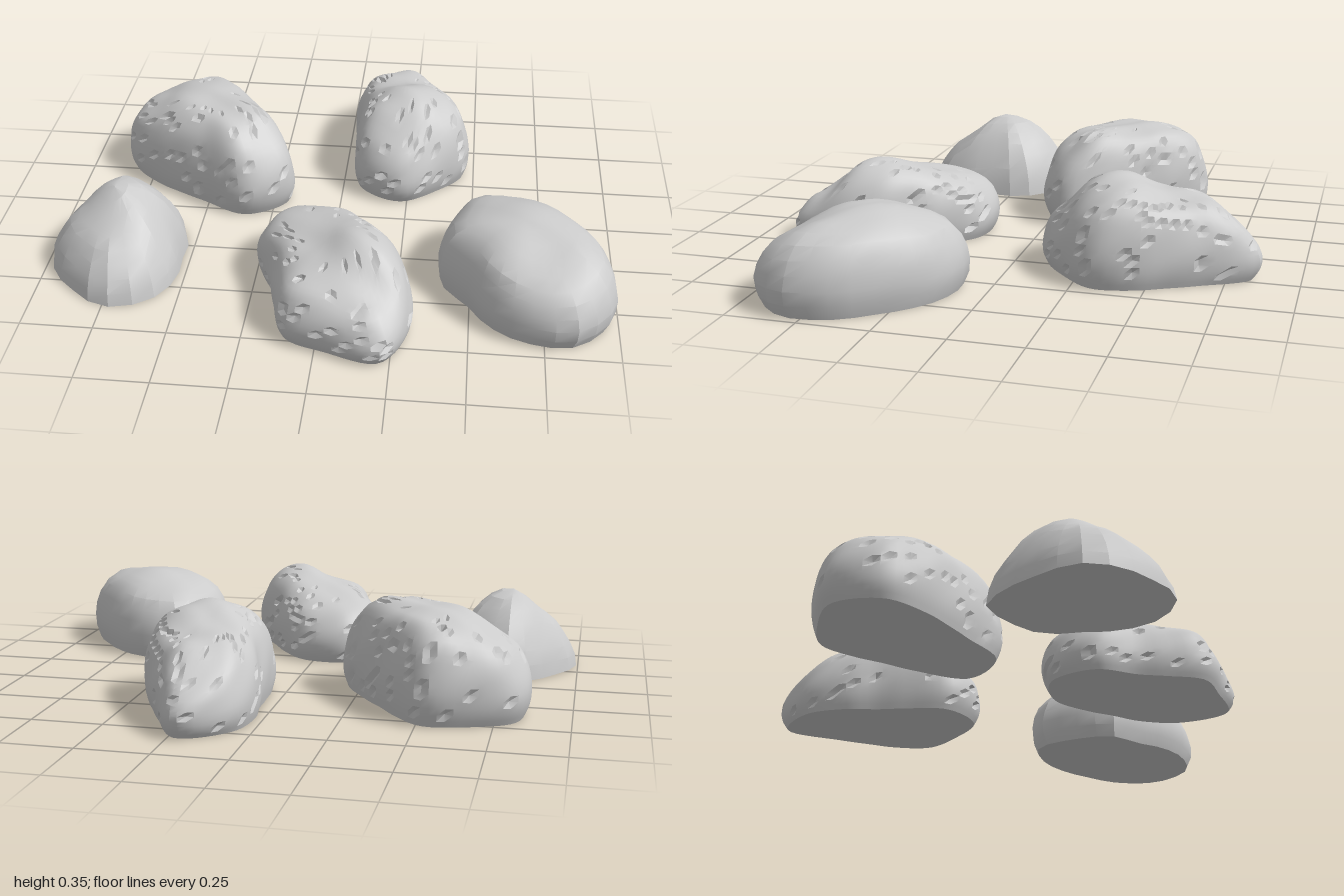
import * as THREE from 'three';
import { toCreasedNormals } from 'three/addons/utils/BufferGeometryUtils.js';

// Side profiles (width, height), from the foot over the shoulder to the crown
const ROUNDED = [[.93, 0], [.985, .15], [1, .34], [.955, .57], [.85, .78], [.67, .915], [.45, .975], [.22, 1], [0, 1]];
const TENTED = [[1, 0], [.985, .15], [.9, .38], [.7, .68], [.45, .87], [.2, .97], [0, 1]];

// Surface types: side profile, mesh fineness, number of chipped pits, lumpiness, crease angle
const PITTED = { profile: ROUNDED, segments: 72, rings: 24, pits: 90, lump: 0.018, crease: 0.45 };
const FACETED = { profile: TENTED, segments: 20, rings: 8, pits: 0, lump: 0.02, crease: 0.3 };
const SMOOTH = { profile: ROUNDED, segments: 26, rings: 10, pits: 0, lump: 0.01, crease: 0.4 };

// Each rock: plan centre [x, z], girth radii at equal angles from +x towards +z,
// and crest heights [x, z, height]
const ROCKS = [
  {
    name: 'backRightRock', surface: PITTED, centre: [-.52, -.27],
    radii: [.25, .40, .37, .24, .215, .248, .335, .367, .31, .29, .22, .20],
    crest: [[-.55, -.36, .345], [-.34, -.16, .36], [-.80, -.36, .29], [-.22, -.06, .31]],
  },
  {
    name: 'backRock', surface: PITTED, centre: [.22, -.46],
    radii: [.235, .293, .31, .368, .322, .215, .189, .237, .336, .405, .252, .213],
    crest: [[.24, -.33, .35], [.18, -.62, .285], [.17, -.84, .22], [.23, -.13, .26]],
  },
  {
    name: 'frontRock', surface: PITTED, centre: [.03, .51],
    radii: [.25, .328, .40, .305, .285, .219, .216, .325, .38, .33, .241, .211],
    crest: [[.17, .56, .31], [-.12, .28, .24], [.18, .80, .20], [-.08, .68, .24]],
  },
  {
    name: 'frontRightRock', surface: FACETED, centre: [-.75, .33],
    radii: [.222, .256, .297, .302, .252, .246, .243, .215, .236, .292, .263, .255],
    crest: [[-.70, .27, .30], [-.95, .36, .24], [-.74, .57, .23], [-.70, .07, .29]],
  },
  {
    name: 'frontLeftRock', surface: SMOOTH, centre: [.67, .40],
    radii: [.298, .362, .362, .295, .244, .22, .282, .307, .36, .302, .256, .247],
    crest: [[.68, .38, .30], [.87, .46, .29], [.77, .65, .24], [.56, .14, .27]],
  },
];

function seeded(seed) {
  return () => {
    seed = (seed * 16807) % 2147483647;
    return seed / 2147483647;
  };
}

// Crest height at a plan position, blended from the nearest samples
function crestHeight(samples, x, z) {
  let sum = 0, total = 0;
  for (const [sx, sz, h] of samples) {
    const w = 1 / ((x - sx) ** 2 + (z - sz) ** 2 + 0.004) ** 1.5;
    sum += w * h;
    total += w;
  }
  return sum / total;
}

function rockGeometry({ surface, centre: [cx, cz], radii, crest }, seed) {
  const { segments: n, rings, lump } = surface;
  const random = seeded(seed);

  // Widest girth, seen from above
  const girth = new THREE.CatmullRomCurve3(radii.map((radius, k) => {
    const angle = (k / radii.length) * Math.PI * 2;
    return new THREE.Vector3(cx + radius * Math.cos(angle), 0, cz + radius * Math.sin(angle));
  }), true);
  const rim = girth.getSpacedPoints(n).slice(0, n);
  const centre = new THREE.Vector3(cx, 0, cz);

  // Levels run from the middle of the flat underside to the crown
  const profile = new THREE.SplineCurve(surface.profile.map(([x, y]) => new THREE.Vector2(x, y)));
  const levels = [new THREE.Vector2(0, 0), ...profile.getSpacedPoints(rings)];

  // Stacked cross-sections
  const points = [];
  for (const level of levels) {
    for (let i = 0; i < n; i++) {
      const p = centre.clone().lerp(rim[i], level.x);
      const bump = Math.sin(p.x * 19 + seed) * Math.sin(p.z * 17 + level.y * 5) + 0.5 * Math.sin(p.x * 31 - p.z * 37);
      p.y = level.y * crestHeight(crest, p.x, p.z) * (1 + lump * bump);
      // Dents push the flanks inwards only, so the girth is kept
      const dent = lump * (1 + Math.sin(level.y * 9 + (i / n) * Math.PI * 14)) * level.y * level.x;
      p.x -= (p.x - cx) * dent;
      p.z -= (p.z - cz) * dent;
      points.push(p);
    }
  }

  // Small chipped pits
  const core = new THREE.Vector3(cx, 0.1, cz);
  for (let k = 0; k < surface.pits; k++) {
    const pit = points[(3 + Math.floor(random() * (rings - 7))) * n + Math.floor(random() * n)];
    pit.add(core.clone().sub(pit).setLength(0.013));
  }

  // Skin between neighbouring levels, closing to a fan at both ends
  const index = [];
  for (let r = 0; r < levels.length - 1; r++) {
    for (let i = 0; i < n; i++) {
      const a = r * n + i, b = r * n + (i + 1) % n;
      if (r > 0) index.push(a, a + n, b);
      if (r < levels.length - 2) index.push(b, a + n, b + n);
    }
  }
  const geometry = new THREE.BufferGeometry().setFromPoints(points);
  geometry.setIndex(index);
  return toCreasedNormals(geometry, surface.crease);
}

export function createModel() {
  const group = new THREE.Group();
  group.name = 'rocks';
  const stone = new THREE.MeshStandardMaterial({ color: 0xcccccc });
  ROCKS.forEach((rock, k) => {
    const mesh = new THREE.Mesh(rockGeometry(rock, 101 + k * 37), stone);
    mesh.name = rock.name;
    group.add(mesh);
  });
  return group;
}
